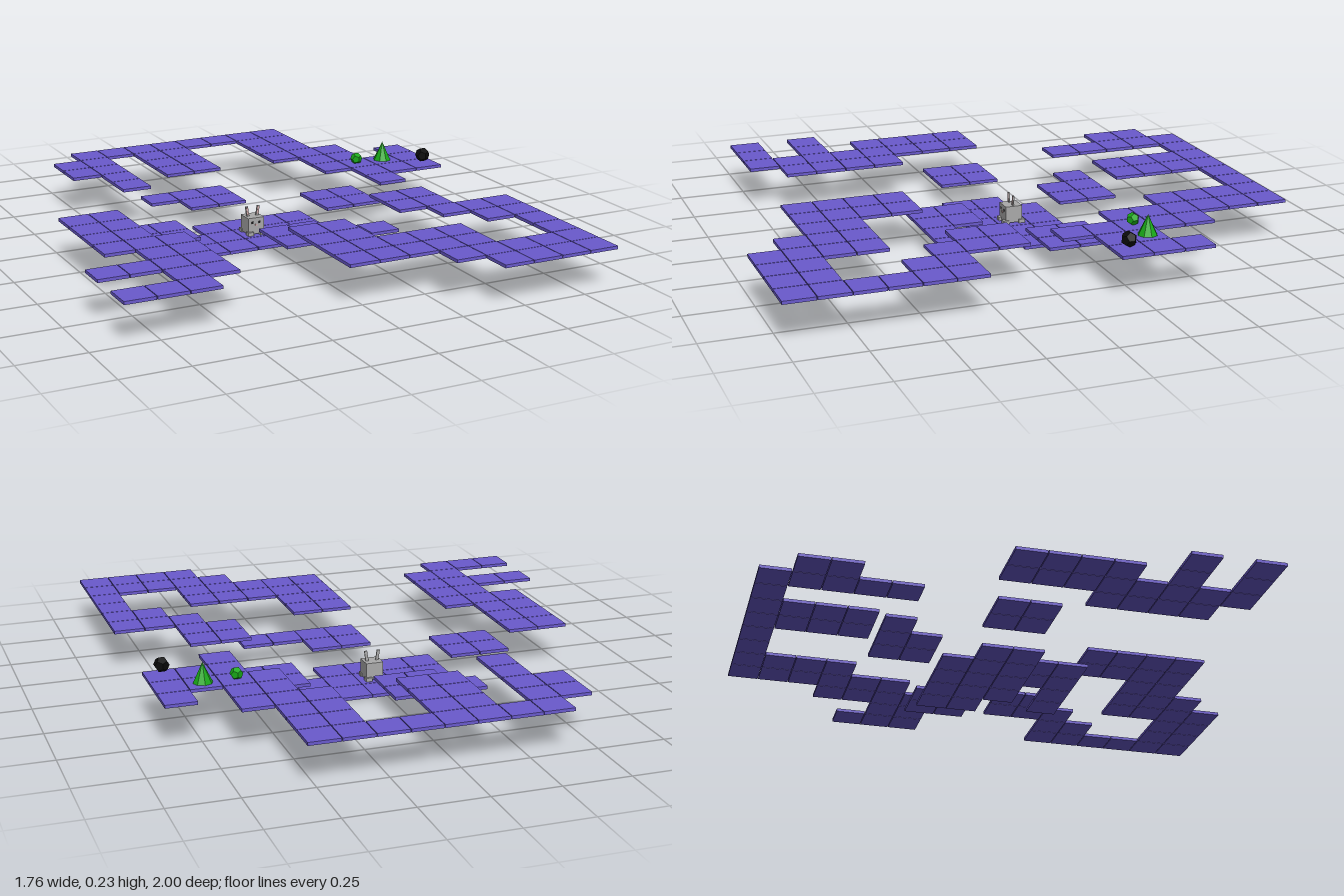
import * as THREE from 'three';

// One character per floor tile: its height level, or '.' for none (rows run back to front)
const MAP = [
  '....22222222...',
  '...22.22..22...',
  '...22.22..22...',
  '....2.22..222..',
  '....2111...22.2',
  '......11...2222',
  '......000011222',
  '.221100000112..',
  '.22110000......',
  '.22....11..22..',
  '.222...111122..',
  '..22...22...222',
  '2222...22....22',
  '..22...22222..2',
  '222....22222..2',
  '..........22222',
  '...........2222',
];
const PITCH = 0.1178, TILE = 0.115, THICK = 0.012, STEP = 0.0735;
const FLOOR = THICK + 2 * STEP;

const mat = (color) => new THREE.MeshStandardMaterial({ color, flatShading: true });

function add(parent, name, geometry, material, x, y, z) {
  const mesh = new THREE.Mesh(geometry, material);
  mesh.name = name;
  mesh.position.set(x, y, z);
  parent.add(mesh);
  return mesh;
}

// Blocky rabbit standing on the lowest floor
function rabbit() {
  const g = new THREE.Group();
  g.name = 'rabbit';
  const grey = mat(0xaaaaaa), pink = mat(0xd8b0b0), dark = mat(0x222222);
  add(g, 'body', new THREE.BoxGeometry(0.066, 0.064, 0.066), grey, 0, 0.036, 0);
  add(g, 'nose', new THREE.BoxGeometry(0.008, 0.006, 0.004), pink, 0, 0.04, 0.034);
  for (const s of [-1, 1]) {
    add(g, 'eye', new THREE.BoxGeometry(0.008, 0.008, 0.003), dark, s * 0.015, 0.05, 0.033);
    const ear = add(g, 'ear', new THREE.BoxGeometry(0.011, 0.042, 0.005), grey, s * 0.022, 0.086, 0);
    const inner = add(ear, 'innerEar', new THREE.BoxGeometry(0.006, 0.03, 0.002), pink, 0, 0, 0.003);
    inner.position.y = 0.002;
    ear.rotation.z = -s * 0.15;
    for (const t of [-1, 1])
      add(g, 'foot', new THREE.BoxGeometry(0.024, 0.014, 0.024), grey, s * 0.025, 0.007, t * 0.031);
  }
  return g;
}

export function createModel() {
  const model = new THREE.Group();
  model.name = 'tiledMaze';

  // Floor tiles on three levels
  const floor = new THREE.Group();
  floor.name = 'floor';
  model.add(floor);
  const tileGeometry = new THREE.BoxGeometry(TILE, THICK, TILE);
  const purple = mat(0x6a5acd);
  MAP.forEach((row, r) => [...row].forEach((level, c) => {
    if (level === '.') return;
    add(floor, 'tile', tileGeometry, purple,
      (c - 7) * PITCH, THICK / 2 + Number(level) * STEP, (r - 8) * PITCH);
  }));

  // Rabbit in the middle of the sunken area
  const animal = rabbit();
  animal.position.set(0, THICK, -PITCH);
  model.add(animal);

  // Bush, tree and boulder on the top level
  const green = mat(0x18a818);
  add(model, 'bush', new THREE.DodecahedronGeometry(0.024), green, 0.585, FLOOR + 0.019, -0.353);
  add(model, 'tree', new THREE.ConeGeometry(0.036, 0.075, 8), green, 0.706, FLOOR + 0.0375, -0.353);
  add(model, 'boulder', new THREE.DodecahedronGeometry(0.029), mat(0x0a0a0a), 0.822, FLOOR + 0.037, -0.227);
  return model;
}
